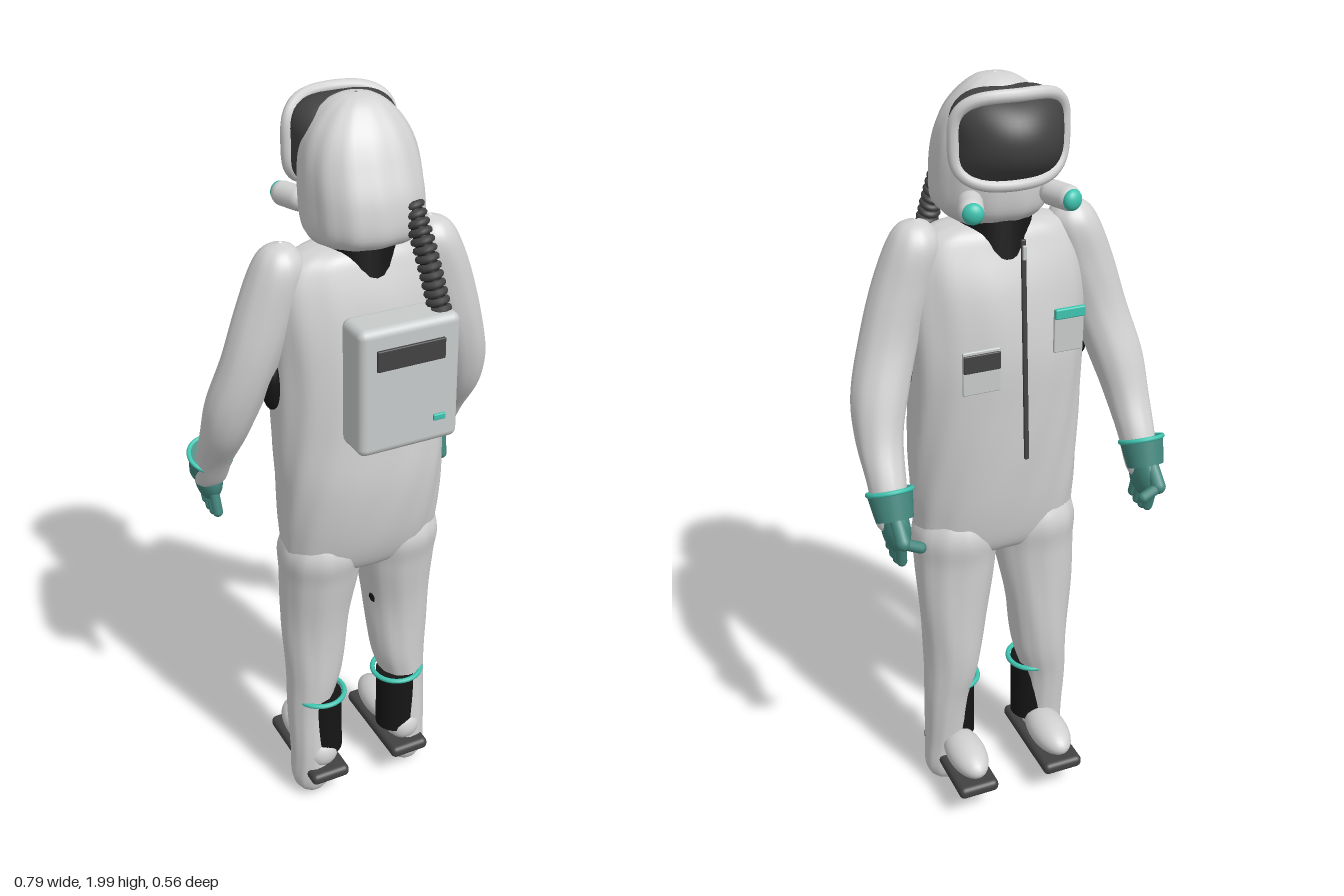
import * as THREE from 'three';
import { RoundedBoxGeometry } from 'three/addons/geometries/RoundedBoxGeometry.js';

const mat = (name, color, extra = {}) => {
  const m = new THREE.MeshStandardMaterial({ color, ...extra });
  m.name = name;
  return m;
};

// Smooth closed surface through horizontal rings [x, y, z, radiusX, radiusZ], bottom to top
function loft(rings, { seg = 40, steps = 6, fold = 0, folds = 9, power = 1 } = {}) {
  const centres = new THREE.CatmullRomCurve3(rings.map(r => new THREE.Vector3(r[0], r[1], r[2])), false, 'catmullrom', 0.5);
  const radii = new THREE.CatmullRomCurve3(rings.map(r => new THREE.Vector3(r[3], r[4], 0)), false, 'catmullrom', 0.5);
  const n = (rings.length - 1) * steps, pos = [], idx = [];
  const bend = v => Math.sign(v) * Math.pow(Math.abs(v), power);
  for (let i = 0; i <= n; i++) {
    const c = centres.getPoint(i / n), r = radii.getPoint(i / n);
    for (let j = 0; j < seg; j++) {
      const a = j / seg * Math.PI * 2;
      const k = 1 + fold * Math.sin(folds * a + 2.5 * Math.sin(c.y * 6)) * Math.sin(4 * a + c.y * 5);
      pos.push(c.x + Math.max(r.x, 0.001) * k * bend(Math.cos(a)), c.y, c.z + Math.max(r.y, 0.001) * k * bend(Math.sin(a)));
      if (i < n) {
        const p = i * seg + j, q = i * seg + (j + 1) % seg;
        idx.push(p, p + seg, q, q, p + seg, q + seg);
      }
    }
  }
  const g = new THREE.BufferGeometry();
  g.setAttribute('position', new THREE.Float32BufferAttribute(pos, 3));
  g.setIndex(idx);
  g.computeVertexNormals();
  return g;
}

export function createModel() {
  const root = new THREE.Group();
  root.name = 'suitedFigure';
  const suit = mat('suitWhite', 0xd2d2d2), shell = mat('shellGrey', 0xc8cbcb);
  const dark = mat('darkGrey', 0x424242), black = mat('innerBlack', 0x151515);
  const teal = mat('brightTeal', 0x3fc4b0), glove = mat('gloveTeal', 0x43867d);

  const add = (name, geo, m, p = [0, 0, 0], rot = [0, 0, 0], s = [1, 1, 1], parent = root) => {
    const mesh = new THREE.Mesh(geo, m);
    mesh.name = name;
    mesh.position.set(...p);
    mesh.rotation.set(...rot);
    mesh.scale.set(...s);
    parent.add(mesh);
    return mesh;
  };
  const ball = new THREE.SphereGeometry(1, 32, 20);
  const box = (w, h, d, r) => new RoundedBoxGeometry(w, h, d, 3, r);
  // Capsule from a to b
  const rod = (name, a, b, r, m) => {
    const A = new THREE.Vector3(...a), B = new THREE.Vector3(...b), d = B.clone().sub(A);
    const mesh = add(name, new THREE.CapsuleGeometry(r, d.length(), 5, 12), m, A.clone().add(B).multiplyScalar(0.5).toArray());
    mesh.quaternion.setFromUnitVectors(new THREE.Vector3(0, 1, 0), d.normalize());
  };

  // Torso
  add('torso', loft([
    [0, 0.76, 0, 0.1, 0.05], [0, 0.8, 0, 0.2, 0.095], [0, 0.9, 0.005, 0.217, 0.125], [0, 1.05, 0.007, 0.222, 0.143],
    [0, 1.2, 0, 0.222, 0.145], [0, 1.35, -0.005, 0.224, 0.143], [0, 1.5, -0.003, 0.225, 0.125],
    [0, 1.6, 0, 0.21, 0.095], [0, 1.65, 0, 0.15, 0.07], [0, 1.665, 0, 0.02, 0.02],
  ], { seg: 64, fold: 0.018, power: 0.88 }), suit);
  add('neck', new THREE.CylinderGeometry(0.085, 0.1, 0.12, 32), black, [0, 1.645, 0]);

  for (const s of [1, -1]) {
    // Trouser leg with rounded closed end
    add('trouserLeg', loft([
      [s * 0.15, 0.005, 0, 0.005, 0.005], [s * 0.15, 0.02, 0, 0.038, 0.038], [s * 0.15, 0.06, 0, 0.055, 0.055],
      [s * 0.15, 0.15, 0, 0.055, 0.058], [s * 0.147, 0.3, -0.012, 0.06, 0.063], [s * 0.13, 0.42, -0.016, 0.076, 0.076],
      [s * 0.122, 0.6, -0.015, 0.092, 0.085], [s * 0.112, 0.75, -0.005, 0.107, 0.1],
      [s * 0.11, 0.85, 0, 0.108, 0.11], [s * 0.11, 0.95, 0, 0.05, 0.05],
    ], { fold: 0.03, folds: 7 }), suit);
    add('innerThigh', ball, black, [s * 0.062, 0.64, 0], [0, 0, s * 0.09], [0.035, 0.085, 0.035]);

    // Boot
    add('bootShaft', new THREE.CylinderGeometry(0.056, 0.056, 0.19, 32), black, [s * 0.117, 0.25, 0.006]);
    add('bootRing', new THREE.TorusGeometry(0.068, 0.007, 10, 40), teal, [s * 0.12, 0.345, 0.003], [Math.PI / 2, 0, 0]);
    add('bootHeel', ball, suit, [s * 0.13, 0.155, 0.035], [0, 0, 0], [0.045, 0.045, 0.035]);
    add('bootToe', ball, suit, [s * 0.125, 0.152, -0.1], [0, 0, 0], [0.053, 0.046, 0.105]);
    add('bootSole', box(0.114, 0.035, 0.3, 0.015), dark, [s * 0.126, 0.098, -0.06]);

    // Sleeve
    add('sleeve', loft([
      [s * 0.337, 0.98, -0.185, 0.02, 0.02], [s * 0.337, 1.0, -0.175, 0.04, 0.038], [s * 0.335, 1.08, -0.14, 0.046, 0.055],
      [s * 0.33, 1.18, -0.08, 0.058, 0.066], [s * 0.312, 1.28, -0.045, 0.071, 0.07], [s * 0.275, 1.4, -0.017, 0.074, 0.067],
      [s * 0.235, 1.52, -0.008, 0.076, 0.068], [s * 0.205, 1.62, -0.006, 0.066, 0.065],
      [s * 0.2, 1.665, -0.005, 0.04, 0.04], [s * 0.195, 1.68, -0.005, 0.004, 0.004],
    ], { fold: 0.02, folds: 6 }), suit);
    add('underarm', ball, black, [s * 0.232, 1.33, 0.0], [0, 0, 0], [0.025, 0.07, 0.03]);

    // Glove
    add('gloveCuff', new THREE.CylinderGeometry(0.056, 0.046, 0.07, 28), glove, [s * 0.337, 1.045, -0.18], [0.45, 0, 0]);
    add('cuffRing', new THREE.TorusGeometry(0.054, 0.006, 10, 36), teal, [s * 0.337, 1.075, -0.166], [Math.PI / 2 + 0.45, 0, 0]);
    add('palm', ball, glove, [s * 0.335, 0.99, -0.195], [0.3, 0, 0], [0.033, 0.06, 0.057]);
    for (let f = 0; f < 4; f++) {
      const z = -0.145 - f * 0.026;
      rod('finger', [s * 0.337, 0.98, z - 0.015], [s * 0.333, 0.9 + 0.008 * Math.abs(f - 1.5), z], 0.0135, glove);
    }
    rod('thumbBase', [s * 0.34, 1.03, -0.215], [s * 0.34, 0.985, -0.262], 0.018, glove);
    rod('thumbTip', [s * 0.34, 0.985, -0.263], [s * 0.298, 0.965, -0.264], 0.014, glove);

    // Breathing filter beside the chin
    const aim = [-Math.PI / 2, 0, -s * 0.35];
    add('filterBody', new THREE.CapsuleGeometry(0.03, 0.05, 6, 20), suit, [s * 0.11, 1.735, -0.13], aim);
    add('filterCap', ball, teal, [s * 0.121, 1.735, -0.172], [0, -s * 0.35, 0], [0.025, 0.025, 0.018]);
  }

  // Hood
  add('hood', loft([
    [0, 1.655, 0, 0.07, 0.05], [0, 1.665, 0.01, 0.1, 0.085], [0, 1.7, 0.025, 0.137, 0.133], [0, 1.78, 0.02, 0.143, 0.138],
    [0, 1.86, 0.008, 0.138, 0.12], [0, 1.92, -0.002, 0.118, 0.1], [0, 1.965, -0.01, 0.083, 0.073],
    [0, 1.99, -0.01, 0.045, 0.042], [0, 1.998, -0.01, 0.003, 0.003],
  ], { seg: 56, fold: 0.025, power: 0.93 }), suit);

  // Visor, squared slightly towards its corners
  const visor = new THREE.SphereGeometry(1, 40, 28);
  const vp = visor.attributes.position;
  for (let i = 0; i < vp.count; i++) {
    const x = vp.getX(i), y = vp.getY(i), k = 1 + 0.7 * x * x * y * y;
    vp.setXY(i, x * k, y * k);
  }
  visor.scale(0.13, 0.104, 0.125);
  visor.computeVertexNormals();
  add('visor', visor, dark, [0, 1.876, -0.075]);

  // Visor frame wrapping round the face
  const soft = v => Math.sign(v) * Math.pow(Math.abs(v), 0.6);
  const framePoints = Array.from({ length: 32 }, (_, i) => {
    const a = i / 32 * Math.PI * 2, u = soft(Math.cos(a));
    return new THREE.Vector3(0.134 * u, 1.876 + 0.1 * soft(Math.sin(a)), -0.137 + 0.045 * u * u);
  });
  add('visorFrame', new THREE.TubeGeometry(new THREE.CatmullRomCurve3(framePoints, true), 96, 0.015, 10, true), suit);

  // Backpack with display panel and lamp
  add('backpack', box(0.26, 0.32, 0.105, 0.02), shell, [0, 1.39, 0.217]);
  add('packPanel', box(0.175, 0.052, 0.009, 0.003), dark, [-0.002, 1.475, 0.272]);
  add('packLamp', box(0.032, 0.016, 0.008, 0.003), teal, [0.075, 1.298, 0.272]);
  add('backPlate', box(0.16, 0.22, 0.04, 0.01), black, [0, 1.35, 0.15]);

  // Corrugated hose
  const hose = new THREE.CatmullRomCurve3([
    new THREE.Vector3(0.068, 1.77, 0.135), new THREE.Vector3(0.08, 1.68, 0.175), new THREE.Vector3(0.098, 1.545, 0.22),
  ]);
  add('hoseCore', new THREE.TubeGeometry(hose, 24, 0.02, 14), black);
  const rib = new THREE.TorusGeometry(0.02, 0.009, 8, 24);
  for (let i = 0; i < 13; i++) {
    const m = add('hoseRib', rib, dark, hose.getPointAt(i / 12).toArray());
    m.quaternion.setFromUnitVectors(new THREE.Vector3(0, 0, 1), hose.getTangentAt(i / 12));
  }

  // Zip and chest patches
  add('zip', box(0.012, 0.55, 0.008, 0.003), dark, [0, 1.385, -0.19], [0.06, 0, 0]);
  add('zipPull', box(0.01, 0.035, 0.008, 0.003), shell, [0, 1.63, -0.182]);
  add('leftPatch', box(0.095, 0.11, 0.008, 0.003), shell, [0.112, 1.36, -0.195]);
  add('leftPatchBand', box(0.093, 0.045, 0.008, 0.003), dark, [0.112, 1.385, -0.199]);
  add('rightPatch', box(0.075, 0.11, 0.008, 0.003), shell, [-0.108, 1.43, -0.195]);
  add('rightPatchBand', box(0.077, 0.026, 0.012, 0.004), teal, [-0.108, 1.475, -0.202]);
  return root;
}
